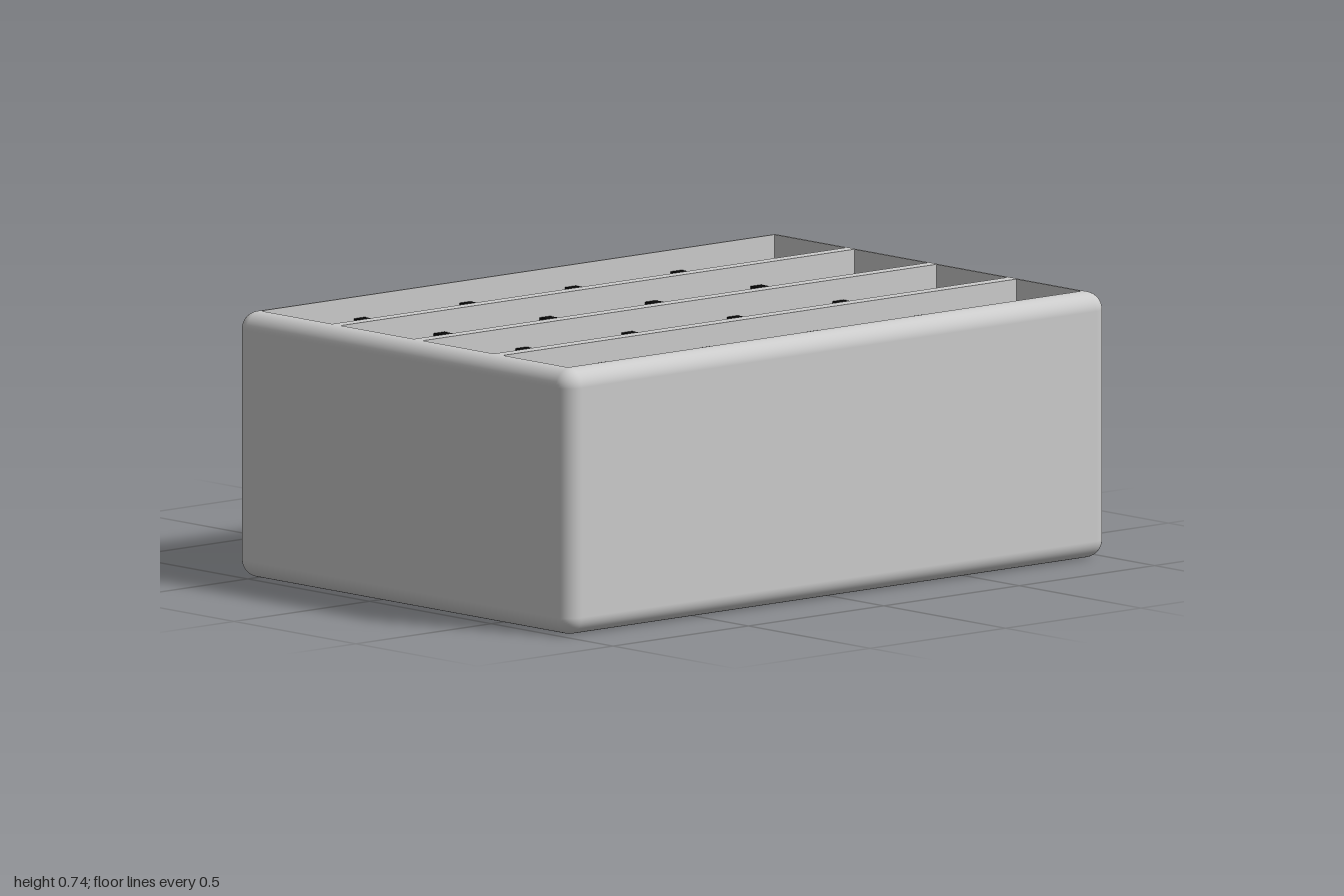
import * as THREE from 'three';
import { RoundedBoxGeometry } from 'three/addons/geometries/RoundedBoxGeometry.js';
import { toCreasedNormals } from 'three/addons/utils/BufferGeometryUtils.js';

const H = 0.74, BACK = -0.555, FRONT = 0.815, R = 0.05, FLOOR = 0.06;
const SLOT_X = 0.948;
const SLOTS = [[-0.504, -0.212], [-0.176, 0.124], [0.161, 0.452], [0.49, 0.757]];

// Closed rectangle outline in x and z
function rectangle(path, x, z0, z1) {
  path.moveTo(-x, -z0);
  path.lineTo(x, -z0);
  path.lineTo(x, -z1);
  path.lineTo(-x, -z1);
  path.closePath();
  return path;
}

// Rounded box with its flat top removed
function shellGeometry() {
  const g = new RoundedBoxGeometry(2, H, FRONT - BACK, 6, R);
  g.translate(0, H / 2, (FRONT + BACK) / 2);
  const p = g.attributes.position, n = g.attributes.normal;
  const pos = [], nor = [];
  for (let i = 0; i < p.count; i += 3) {
    if ([0, 1, 2].every(k => p.getY(i + k) > H - 1e-4)) continue;
    for (let k = i; k < i + 3; k++) {
      pos.push(p.getX(k), p.getY(k), p.getZ(k));
      nor.push(n.getX(k), n.getY(k), n.getZ(k));
    }
  }
  const out = new THREE.BufferGeometry();
  out.setAttribute('position', new THREE.Float32BufferAttribute(pos, 3));
  out.setAttribute('normal', new THREE.Float32BufferAttribute(nor, 3));
  return out;
}

// Box turned inside out, without its top
function pocketGeometry(w, h, d) {
  const g = new THREE.BoxGeometry(w, h, d);
  const idx = Array.from(g.index.array);
  idx.splice(12, 6);
  g.setIndex(idx.reverse());
  g.clearGroups();
  const n = g.attributes.normal;
  for (let i = 0; i < n.count; i++) n.setXYZ(i, -n.getX(i), -n.getY(i), -n.getZ(i));
  return g;
}

// Block with two rounded rear corners
function tabGeometry() {
  const w = 0.192, rear = 0.815, r = 0.055;
  const s = new THREE.Shape();
  s.moveTo(-w, 0.52);
  s.lineTo(w, 0.52);
  s.lineTo(w, rear - r);
  s.absarc(w - r, rear - r, r, 0, Math.PI / 2, false);
  s.absarc(-w + r, rear - r, r, Math.PI / 2, Math.PI, false);
  s.closePath();
  const g = new THREE.ExtrudeGeometry(s, { depth: 0.147, bevelEnabled: false, curveSegments: 8 });
  g.rotateX(-Math.PI / 2);
  return toCreasedNormals(g, 0.6);
}

export function createModel() {
  const model = new THREE.Group();
  const grey = new THREE.MeshStandardMaterial({ color: 0xcccccc });
  const black = new THREE.MeshStandardMaterial({ color: 0x080808 });

  const add = (name, geometry, material, x = 0, y = 0, z = 0) => {
    const mesh = new THREE.Mesh(geometry, material);
    mesh.name = name;
    mesh.position.set(x, y, z);
    model.add(mesh);
  };

  add('caseShell', shellGeometry(), grey);

  // Flat top rim with four long openings
  const rim = rectangle(new THREE.Shape(), 1 - R, BACK + R, FRONT - R);
  for (const [z0, z1] of SLOTS) rim.holes.push(rectangle(new THREE.Path(), SLOT_X, z0, z1));
  add('topRim', new THREE.ShapeGeometry(rim).rotateX(-Math.PI / 2), grey, 0, H, 0);

  // Slots and the thin dividers across them
  const dividerTop = 0.68;
  for (const [z0, z1] of SLOTS) {
    const z = (z0 + z1) / 2, d = z1 - z0;
    add('slot', pocketGeometry(2 * SLOT_X, H - FLOOR, d), grey, 0, (H + FLOOR) / 2, z);
    for (const x of [-0.585, -0.195, 0.195, 0.585]) {
      add('divider', new THREE.BoxGeometry(0.04, dividerTop - FLOOR, d), black,
        x, (dividerTop + FLOOR) / 2, z);
    }
  }

  // Pair of tabs on the back
  for (const side of [-1, 1]) add('backTab', tabGeometry(), grey, side * 0.232, 0.055, 0);

  return model;
}
